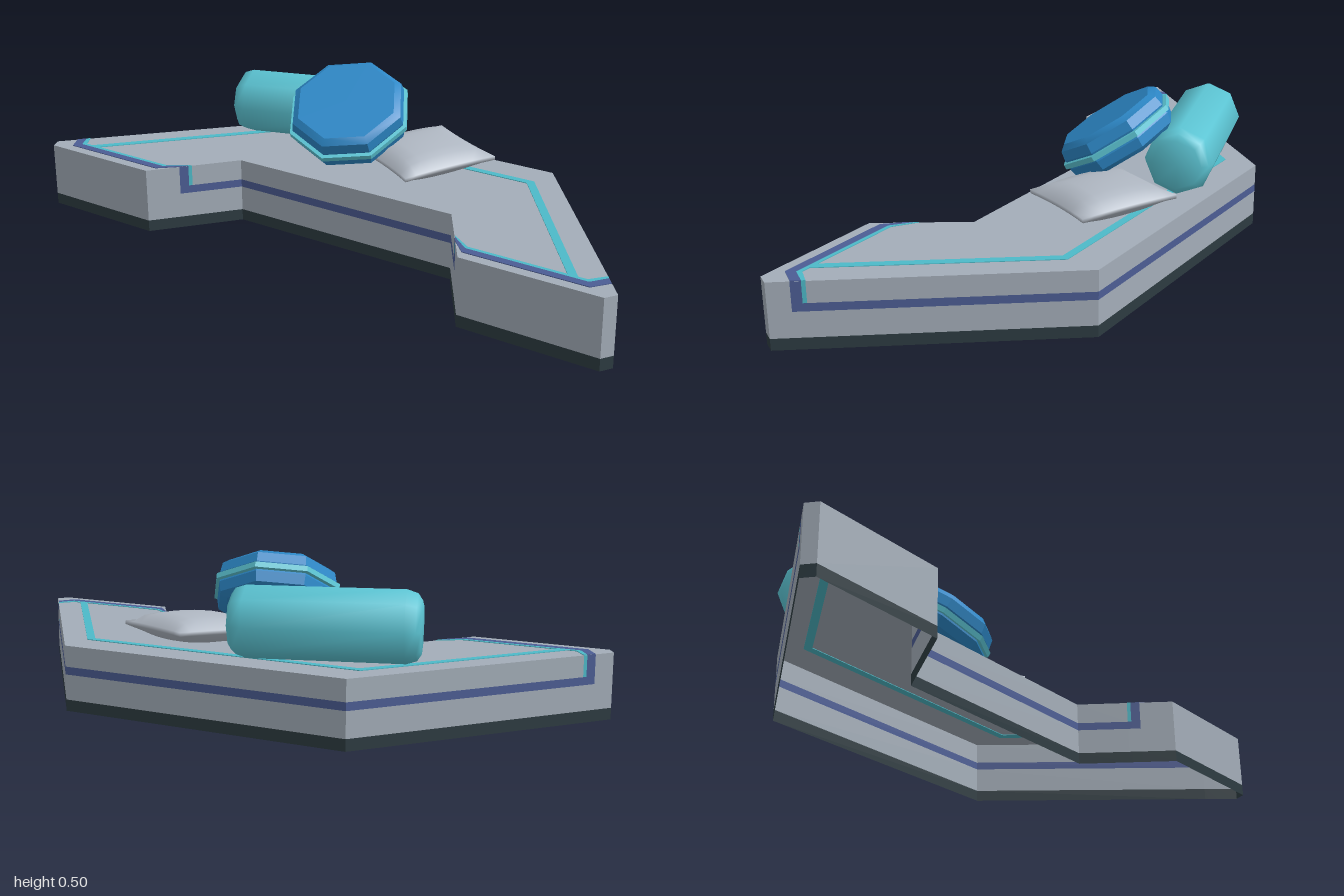
import * as THREE from 'three';
import { mergeGeometries, mergeVertices, toCreasedNormals } from 'three/addons/utils/BufferGeometryUtils.js';

const paint = (name, color) => {
  const m = new THREE.MeshStandardMaterial({ color, side: THREE.DoubleSide });
  m.name = name;
  return m;
};

export function createModel() {
  const model = new THREE.Group();
  const mats = {
    grey: paint('platform grey', 0xa3adb8),
    dark: paint('skirting dark', 0x2d3b41),
    navy: paint('navy stripe', 0x4c5d94),
    teal: paint('teal line', 0x4dbac8),
    pillow: paint('pillow grey', 0xb1b9c4),
    bolster: paint('bolster teal', 0x5cc5d4),
    blue: paint('cushion blue', 0x2c87c6),
  };
  const add = (name, geometry, material, parent = model) => {
    const mesh = new THREE.Mesh(geometry, material);
    mesh.name = name;
    parent.add(mesh);
    return mesh;
  };

  // Platform: an angular C-shaped shell, open underneath
  const H = 0.2;
  const half = [[0.35, 0.46], [-0.33, 1], [-0.365, 0.98], [-0.365, 0.563], [-0.12, 0.39]];
  const mirror = (pts) => pts.map(([x, z]) => [x, -z]);
  const outline = [...half, ...mirror(half).reverse()];
  const shapeOf = (pts) => new THREE.Shape(pts.map(([x, z]) => new THREE.Vector2(x, -z)));
  add('platformTop', new THREE.ShapeGeometry(shapeOf(outline)).rotateX(-Math.PI / 2).translate(0, H, 0), mats.grey);

  // Walls are stacked colour bands: [material, bottom, top]
  const foot = ['dark', 0, 0.035];
  const plain = [foot, ['grey', 0.035, H]];
  const striped = [foot, ['grey', 0.035, 0.112], ['navy', 0.112, 0.136], ['grey', 0.136, H]];
  const riser = [foot, ['grey', 0.035, 0.112], ['navy', 0.112, H]];
  const tealEdge = [foot, ['grey', 0.035, 0.112], ['navy', 0.112, 0.136], ['teal', 0.136, H]];
  const panels = { grey: [], dark: [], navy: [], teal: [] };
  const wall = (a, b, bands) => {
    for (const [key, y0, y1] of bands) {
      const g = new THREE.BufferGeometry();
      g.setAttribute('position', new THREE.Float32BufferAttribute(
        [a[0], y0, a[1], b[0], y0, b[1], b[0], y1, b[1], a[0], y1, a[1]], 3));
      g.setIndex([0, 1, 2, 0, 2, 3]);
      g.computeVertexNormals();
      panels[key].push(g);
    }
  };
  // A slanted wall whose stripe turns upward near the tip
  const slantedWall = (tip, root) => {
    const at = (x) => [x, tip[1] + (root[1] - tip[1]) * (x - tip[0]) / (root[0] - tip[0])];
    const stops = [tip, at(-0.28), at(-0.257), at(-0.248), root];
    [plain, riser, tealEdge, striped].forEach((bands, i) => wall(stops[i], stops[i + 1], bands));
  };
  for (const p of [half, mirror(half)]) {
    slantedWall(p[1], p[0]);
    wall(p[1], p[2], plain);
    wall(p[2], p[3], plain);
    slantedWall(p[3], p[4]);
  }
  wall([0.35, -0.46], [0.35, 0.46], striped);
  wall([-0.12, -0.39], [-0.12, 0.39], striped);
  for (const key of Object.keys(panels)) add(`${key}WallBands`, mergeGeometries(panels[key]), mats[key]);

  // Inlaid lines, thin enough to show on both faces of the top
  const inlay = (name, pts, material) => add(name,
    new THREE.ExtrudeGeometry(shapeOf(pts), { depth: 0.004, bevelEnabled: false })
      .rotateX(-Math.PI / 2).translate(0, H - 0.002, 0), material);
  const navyTip = [[-0.28, 0.959], [-0.332, 0.925], [-0.332, 0.555], [-0.28, 0.503],
    [-0.257, 0.488], [-0.306, 0.55], [-0.306, 0.91], [-0.257, 0.941]];
  const tealTip = [[-0.257, 0.941], [-0.306, 0.91], [-0.306, 0.55], [-0.257, 0.488],
    [-0.248, 0.482], [-0.294, 0.55], [-0.294, 0.9], [-0.248, 0.934]];
  const tealLine = [[0.222, 0], [0.246, 0], [0.246, 0.453], [-0.298, 0.877], [-0.298, 0.847], [0.222, 0.441]];
  for (const f of [(p) => p, mirror]) {
    inlay('tipStripe', f(navyTip), mats.navy);
    inlay('tipLine', f(tealTip), mats.teal);
    inlay('borderLine', f(tealLine), mats.teal);
  }

  // Eight-sided turned parts
  const lathe = (pts) => new THREE.LatheGeometry(pts.map(([r, y]) => new THREE.Vector2(r, y)), 8);

  // Bolster lying on its side
  const bolsterGeo = lathe([[0, -0.268], [0.075, -0.268], [0.095, -0.255], [0.105, -0.225],
    [0.105, 0.225], [0.095, 0.255], [0.075, 0.268], [0, 0.268]]);
  const bolster = add('bolster', toCreasedNormals(bolsterGeo, 0.9), mats.bolster);
  bolster.rotation.set(Math.PI / 2, 0.2, 0.0, 'YXZ');
  bolster.rotation.y = 0.31;
  bolster.position.set(0.197, 0.31, -0.325);

  // Round cushion leaning on the bolster, with piping round its middle
  const cushion = new THREE.Group();
  cushion.name = 'roundCushion';
  const cushionGeo = lathe([[0, -0.06], [0.155, -0.06], [0.178, -0.045], [0.184, -0.015],
    [0.178, 0], [0.184, 0.015], [0.178, 0.045], [0.158, 0.06], [0, 0.06]]);
  add('cushionBody', toCreasedNormals(cushionGeo, 0.5), mats.blue, cushion);
  const pipingGeo = lathe([[0.175, -0.01], [0.194, -0.008], [0.194, 0.008], [0.175, 0.01]]);
  add('cushionPiping', toCreasedNormals(pipingGeo, 0.5), mats.bolster, cushion);
  cushion.rotation.set(0.2, 0.1, 0.54, 'ZXY');
  cushion.position.set(0.055, 0.365, -0.095);
  model.add(cushion);

  // Square pillow: a box swollen in the middle and pinched at its edges
  let pillowGeo = new THREE.BoxGeometry(2, 2, 2, 8, 1, 8);
  const pos = pillowGeo.attributes.position;
  for (let i = 0; i < pos.count; i++) {
    const u = pos.getX(i), v = pos.getZ(i);
    const swell = Math.pow((1 - u * u) * (1 - v * v), 0.42);
    pos.setXYZ(i, 0.155 * u * (0.95 + 0.05 * v * v), pos.getY(i) * (0.006 + 0.038 * swell),
      0.155 * v * (0.95 + 0.05 * u * u));
  }
  pillowGeo.deleteAttribute('normal');
  pillowGeo.deleteAttribute('uv');
  pillowGeo = mergeVertices(pillowGeo);
  pillowGeo.computeVertexNormals();
  const pillow = add('squarePillow', pillowGeo, mats.pillow);
  pillow.rotation.set(0, -0.46, 0.07, 'ZYX');
  pillow.position.set(0.145, 0.256, 0.125);

  return model;
}
